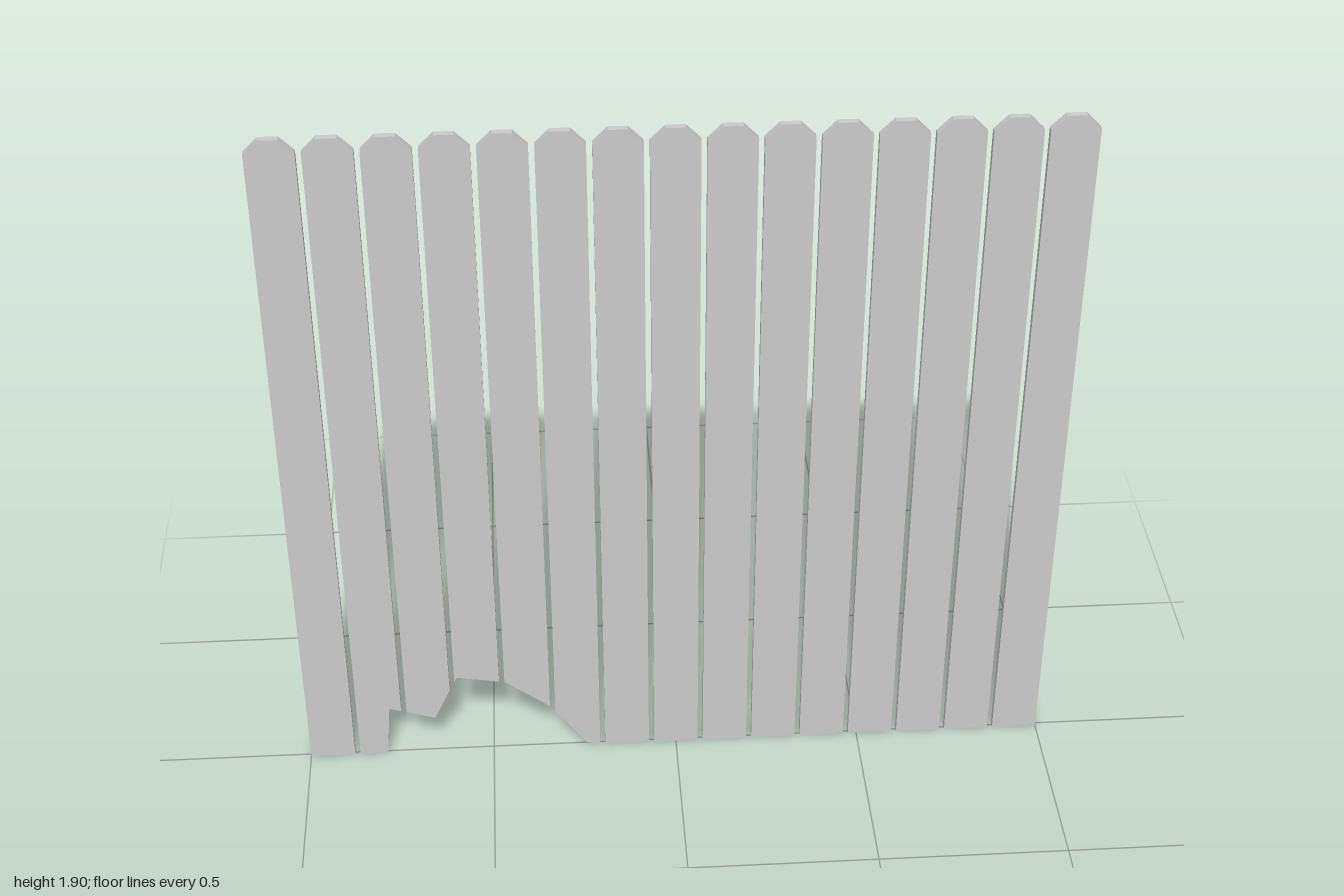
import * as THREE from 'three';

const COUNT = 15, WIDTH = 0.12, HEIGHT = 1.9, DEPTH = 0.018, CHAMFER = 0.036;

// Lower outline of the fence, with the ragged broken hole, left to right
const lowerEdge = [
  [-1, 0], [-0.866, 0], [-0.79, 0.005], [-0.777, 0.16], [-0.655, 0.12], [-0.605, 0.23],
  [-0.59, 0.26], [-0.46, 0.237], [-0.34, 0.143], [-0.245, 0.007], [-0.209, 0], [1, 0],
];

// Height of the lower outline at x
function edgeHeight(x) {
  for (let i = 1; i < lowerEdge.length; i++) {
    const [x0, y0] = lowerEdge[i - 1], [x1, y1] = lowerEdge[i];
    if (x <= x1) return y0 + (y1 - y0) * (x - x0) / (x1 - x0);
  }
  return 0;
}

// One board: chamfered top corners, bottom cut along the lower outline
function plankGeometry(left) {
  const right = left + WIDTH;
  const inner = lowerEdge.filter(([x]) => x > left + 0.001 && x < right - 0.001);
  const outline = [
    [left, edgeHeight(left)], ...inner, [right, edgeHeight(right)],
    [right, HEIGHT - CHAMFER], [right - CHAMFER, HEIGHT],
    [left + CHAMFER, HEIGHT], [left, HEIGHT - CHAMFER],
  ];
  const shape = new THREE.Shape(outline.map(([x, y]) => new THREE.Vector2(x, y)));
  const geometry = new THREE.ExtrudeGeometry(shape, { depth: DEPTH, bevelEnabled: false });
  return geometry.translate(0, 0, -DEPTH / 2);
}

export function createModel() {
  const fence = new THREE.Group();
  fence.name = 'fence';
  const material = new THREE.MeshStandardMaterial({ color: 0xcccccc, flatShading: true });
  const pitch = (2 - WIDTH) / (COUNT - 1);
  for (let i = 0; i < COUNT; i++) {
    const plank = new THREE.Mesh(plankGeometry(-1 + i * pitch), material);
    plank.name = `plank${i + 1}`;
    fence.add(plank);
  }
  return fence;
}
